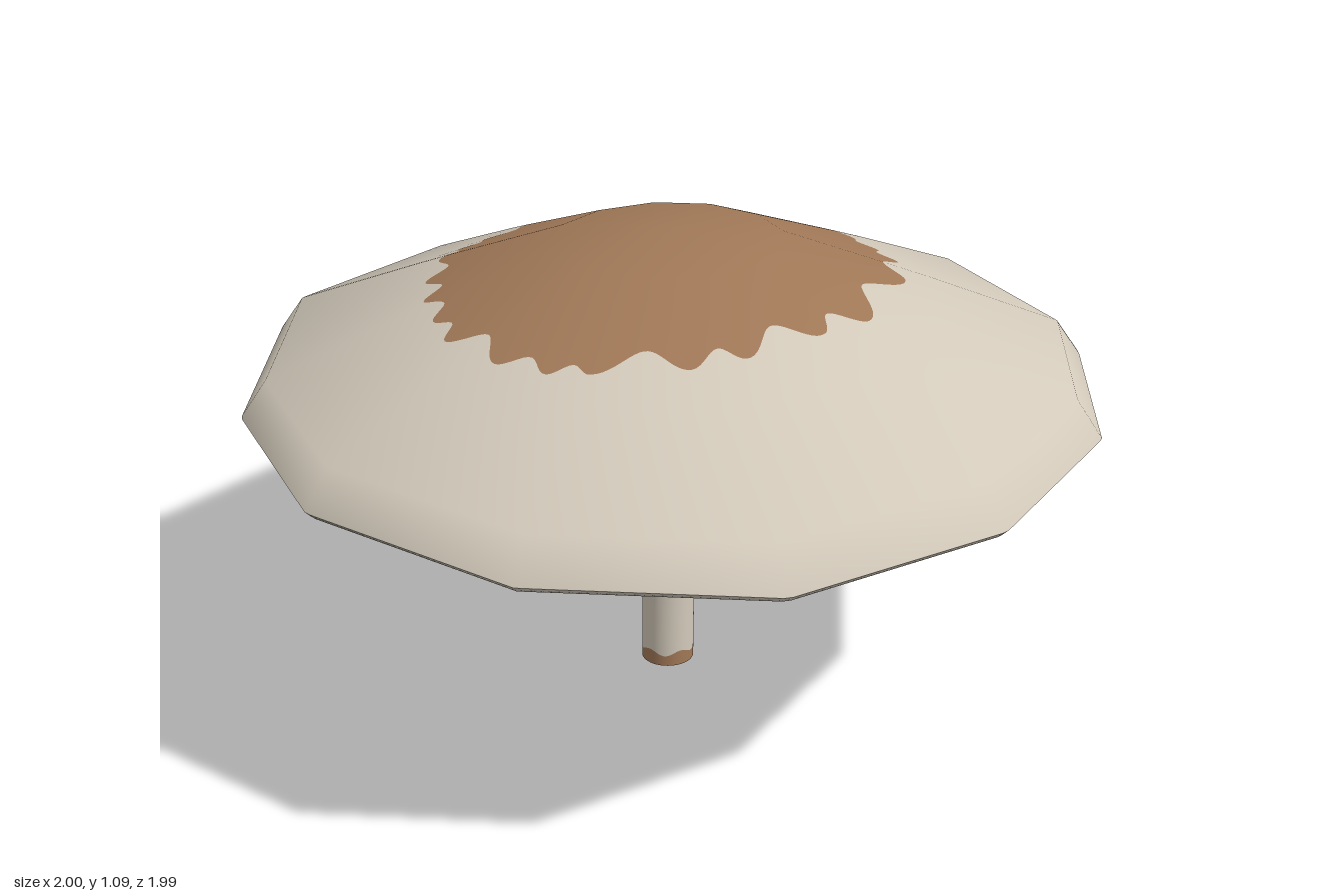
import * as THREE from 'three';

const cream = new THREE.MeshStandardMaterial({ color: 0xd2c9ba });
cream.name = 'cream';
const brown = new THREE.MeshStandardMaterial({ color: 0xa07857 });
brown.name = 'brown';
// open stem: both faces show
const creamTube = cream, brownTube = brown;
cream.side = brown.side = THREE.DoubleSide;

const TAU = Math.PI * 2;
const SEGMENTS = 360;

// Twelve rim corners (x, z)
const RIM = [[1, -0.01], [0.92, 0.5], [0.56, 0.86], [0.04, 0.99], [-0.46, 0.85], [-0.89, 0.49],
  [-1, -0.02], [-0.86, -0.53], [-0.5, -0.88], [-0.02, -1], [0.48, -0.86], [0.84, -0.5]];

// Tips of the scalloped patch (x, z)
const TIPS = [[0.485, 0], [0.47, 0.2], [0.43, 0.31], [0.3, 0.47], [0.22, 0.52], [0.1, 0.56],
  [-0.08, 0.56], [-0.18, 0.52], [-0.29, 0.47], [-0.4, 0.39], [-0.49, 0.29], [-0.53, 0.21],
  [-0.55, 0.12], [-0.55, 0], [-0.53, -0.1], [-0.51, -0.2], [-0.46, -0.28], [-0.38, -0.37],
  [-0.32, -0.43], [-0.25, -0.48], [-0.16, -0.52], [-0.08, -0.54], [0.03, -0.545], [0.11, -0.545],
  [0.2, -0.52], [0.32, -0.42], [0.47, -0.15]];

// Cap profile: fraction of rim radius, height, outward lean of the normal
const PROFILE = [[0, 1.09, 0], [0.26, 1.065, 0.22], [0.58, 0.945, 0.4], [0.94, 0.8, 0.65],
  [1, 0.718, 1.6]];

const wrap = (a) => ((a % TAU) + TAU) % TAU;

// Find the pair of points either side of an angle
function span(points, angle) {
  for (let i = 0; i < points.length; i++) {
    const p = points[i], q = points[(i + 1) % points.length];
    const a = Math.atan2(p[1], p[0]);
    const gap = wrap(Math.atan2(q[1], q[0]) - a);
    const d = wrap(angle - a);
    if (d <= gap) return { p, q, gap, f: d / gap };
  }
  return { p: points[0], q: points[1], gap: 1, f: 0 };
}

// Radius of the straight-sided rim polygon
function rimRadius(angle) {
  const { p, q } = span(RIM, angle);
  const ex = q[0] - p[0], ez = q[1] - p[1];
  return (p[0] * ez - p[1] * ex) / (Math.cos(angle) * ez - Math.sin(angle) * ex);
}

// Radius of the patch edge, dipping between tips
function patchRadius(angle) {
  const { p, q, gap, f } = span(TIPS, angle);
  const r = THREE.MathUtils.lerp(Math.hypot(...p), Math.hypot(...q), f);
  return r - Math.min(0.08, gap * 0.18) * (1 - Math.cos(f * TAU)) / 2;
}

// Height and normal lean at a fraction of the rim radius
function profileAt(t) {
  let i = 0;
  while (i < PROFILE.length - 2 && t > PROFILE[i + 1][0]) i++;
  const a = PROFILE[i], b = PROFILE[i + 1];
  const f = (t - a[0]) / (b[0] - a[0]);
  return [THREE.MathUtils.lerp(a[1], b[1], f), THREE.MathUtils.lerp(a[2], b[2], f)];
}

// Join rings of points, each ring given as angle -> { position, normal }
function loft(rings, material, name) {
  const position = [], normal = [], index = [];
  const row = SEGMENTS + 1;
  rings.forEach((ring, k) => {
    for (let j = 0; j <= SEGMENTS; j++) {
      const v = ring((j / SEGMENTS) * TAU);
      position.push(...v.position);
      normal.push(...v.normal.normalize());
      if (k > 0 && j < SEGMENTS) {
        const a = (k - 1) * row + j, b = a + row;
        index.push(a, a + 1, b, b, a + 1, b + 1);
      }
    }
  });
  const geometry = new THREE.BufferGeometry();
  geometry.setAttribute('position', new THREE.Float32BufferAttribute(position, 3));
  geometry.setAttribute('normal', new THREE.Float32BufferAttribute(normal, 3));
  geometry.setIndex(index);
  const mesh = new THREE.Mesh(geometry, material);
  mesh.name = name;
  return mesh;
}

// Ring on the top of the cap at a fraction of the rim
const capRing = (fraction) => (angle) => {
  const R = rimRadius(angle);
  const t = typeof fraction === 'function' ? fraction(angle) / R : fraction;
  const [y, lean] = profileAt(t);
  const c = Math.cos(angle), s = Math.sin(angle);
  return {
    position: new THREE.Vector3(c * R * t, y, s * R * t),
    normal: new THREE.Vector3(c * lean, 1, s * lean),
  };
};

// Ring under the cap, facing down
const underRing = (t, y, lean) => (angle) => {
  const R = rimRadius(angle) * t, c = Math.cos(angle), s = Math.sin(angle);
  return {
    position: new THREE.Vector3(c * R, y, s * R),
    normal: new THREE.Vector3(c * lean, -1, s * lean),
  };
};

// Ring on the stem, with an optional wavy edge
const stemRing = (y, wave = 0) => (angle) => {
  const c = Math.cos(angle), s = Math.sin(angle);
  const h = y + wave * Math.sin(angle * 5 + 0.6);
  const cx = -0.014 + 0.01 * Math.min(1, h / 0.7);
  return {
    position: new THREE.Vector3(cx + c * 0.062, h, s * 0.062),
    normal: new THREE.Vector3(c, 0, s),
  };
};

export function createModel() {
  const model = new THREE.Group();
  model.name = 'mushroom';

  // Cap: scalloped crown, pale skirt, turned-in rim and flat underside
  const cap = new THREE.Group();
  cap.name = 'cap';
  cap.add(
    loft([capRing(0), capRing(0.26), capRing(patchRadius)], brown, 'crownPatch'),
    loft([capRing(patchRadius), capRing(0.62), capRing(0.94), capRing(1)], cream, 'capSkirt'),
    loft([underRing(1, 0.718, 1.6), underRing(0.985, 0.703, 0.2)], cream, 'capRim'),
    loft([underRing(0.985, 0.703, 0), underRing(0, 0.703, 0)], cream, 'capUnderside'),
  );

  // Stem: hollow tube with a brown band at each end
  const stem = new THREE.Group();
  stem.name = 'stem';
  stem.add(
    loft([stemRing(0.71), stemRing(0.655, 0.003)], brownTube, 'stemTopBand'),
    loft([stemRing(0.655, 0.003), stemRing(0.032, 0.006)], creamTube, 'stemShaft'),
    loft([stemRing(0.032, 0.006), stemRing(0)], brownTube, 'stemFootBand'),
  );

  model.add(cap, stem);
  return model;
}
